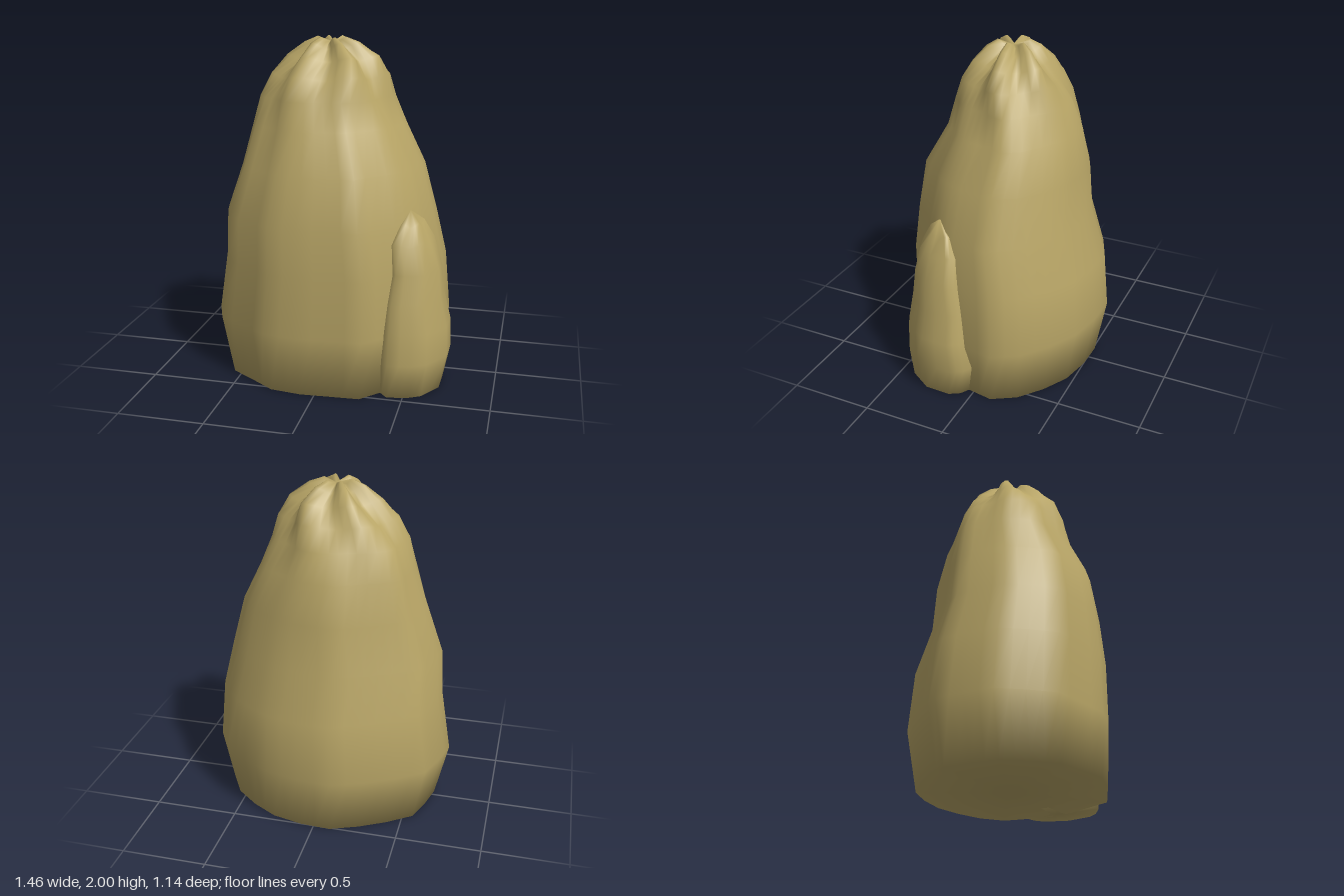
import * as THREE from 'three';
import { mergeVertices } from 'three/addons/utils/BufferGeometryUtils.js';

// Plan outline scaled to the range -1..1, with a midpoint added on each side
function unitOutline(points) {
  const box = new THREE.Box2().setFromPoints(points.map(([x, z]) => new THREE.Vector2(x, z)));
  const unit = points.map(([x, z]) => [
    (2 * x - box.min.x - box.max.x) / (box.max.x - box.min.x),
    (2 * z - box.min.y - box.max.y) / (box.max.y - box.min.y),
  ]);
  return unit.flatMap(([x, z], i) => {
    const [nx, nz] = unit[(i + 1) % unit.length];
    return [[x, z], [(x + nx) / 2, (z + nz) / 2]];
  });
}

// Closed skin through rings: [y, xMin, xMax, zMin, zMax, fold depth, fold lift]
function loft(outline, rings, folds, twist, foldY) {
  const unit = unitOutline(outline);
  const count = unit.length;
  const points = [];
  const index = [];
  rings.forEach(([y, x0, x1, z0, z1, depth = 0, lift = 0], i) => {
    unit.forEach(([u, v], j) => {
      const wave = Math.cos(folds * Math.atan2(v, u) + twist * (y - foldY));
      const r = 1 + depth * (wave - 0.6);
      points.push(
        (x0 + x1) / 2 + ((x1 - x0) / 2) * u * r,
        y + lift * wave,
        (z0 + z1) / 2 + ((z1 - z0) / 2) * v * r
      );
      if (i === rings.length - 1) return;
      const k = i * count + j;
      const n = i * count + ((j + 1) % count);
      index.push(k, k + count, n, n, k + count, n + count);
    });
  });
  let geometry = new THREE.BufferGeometry();
  geometry.setAttribute('position', new THREE.Float32BufferAttribute(points, 3));
  geometry.setIndex(index);
  geometry = mergeVertices(geometry, 1e-4);
  geometry.computeVertexNormals();
  return geometry;
}

export function createModel() {
  const group = new THREE.Group();
  group.name = 'mound';
  const clay = new THREE.MeshStandardMaterial({ color: 0xb8a566 });
  clay.name = 'ochre clay';

  // Tall mound, gathered into twisted folds at the tip
  const bodyOutline = [
    [0.66, 0.02], [0.62, 0.17], [0.54, 0.3], [0.42, 0.41], [0.28, 0.55], [0.08, 0.56],
    [-0.1, 0.57], [-0.3, 0.545], [-0.46, 0.44], [-0.62, 0.34], [-0.685, 0.18],
    [-0.73, 0.02], [-0.69, -0.14], [-0.63, -0.3], [-0.47, -0.41], [-0.3, -0.5],
    [-0.12, -0.57], [0.08, -0.56], [0.28, -0.515], [0.45, -0.42], [0.6, -0.3], [0.69, -0.15],
  ];
  const body = new THREE.Mesh(loft(bodyOutline, [
    [0, -0.02, -0.02, 0, 0],
    [0, -0.65, 0.63, -0.51, 0.55],
    [0.35, -0.73, 0.69, -0.57, 0.57],
    [0.71, -0.67, 0.66, -0.545, 0.57],
    [0.98, -0.65, 0.605, -0.45, 0.545],
    [1.27, -0.55, 0.525, -0.435, 0.5],
    [1.5, -0.49, 0.41, -0.38, 0.39, 0.02],
    [1.66, -0.44, 0.34, -0.325, 0.355, 0.04],
    [1.78, -0.365, 0.31, -0.265, 0.305, 0.09, 0.01],
    [1.88, -0.265, 0.25, -0.205, 0.22, 0.16, 0.015],
    [1.95, -0.17, 0.14, -0.13, 0.15, 0.2, 0.02],
    [1.98, -0.1, 0.06, -0.07, 0.1, 0.2, 0.02],
    [1.97, -0.01, -0.01, 0.02, 0.02],
  ], 6, -6, 1.9), clay);
  body.name = 'mainMound';
  group.add(body);

  // Small blunt spire half sunk into the left side
  const spireOutline = [
    [0.73, 0.1], [0.725, 0.27], [0.63, 0.42], [0.55, 0.465], [0.42, 0.49],
    [0.34, 0.4], [0.32, 0.2], [0.4, 0.02], [0.61, -0.02], [0.69, 0.03],
  ];
  const spire = new THREE.Mesh(loft(spireOutline, [
    [0, 0.5, 0.5, 0.24, 0.24],
    [0, 0.32, 0.69, 0.02, 0.475],
    [0.2, 0.31, 0.73, -0.03, 0.49],
    [0.38, 0.32, 0.725, 0, 0.48],
    [0.55, 0.34, 0.685, 0.02, 0.45],
    [0.72, 0.37, 0.67, 0.06, 0.42],
    [0.88, 0.36, 0.62, 0.08, 0.395, 0.02, 0.01],
    [0.98, 0.42, 0.565, 0.14, 0.33, 0.05, 0.015],
    [1.06, 0.495, 0.495, 0.25, 0.25],
  ], 5, 3, 0), clay);
  spire.name = 'sideSpire';
  group.add(spire);

  return group;
}
